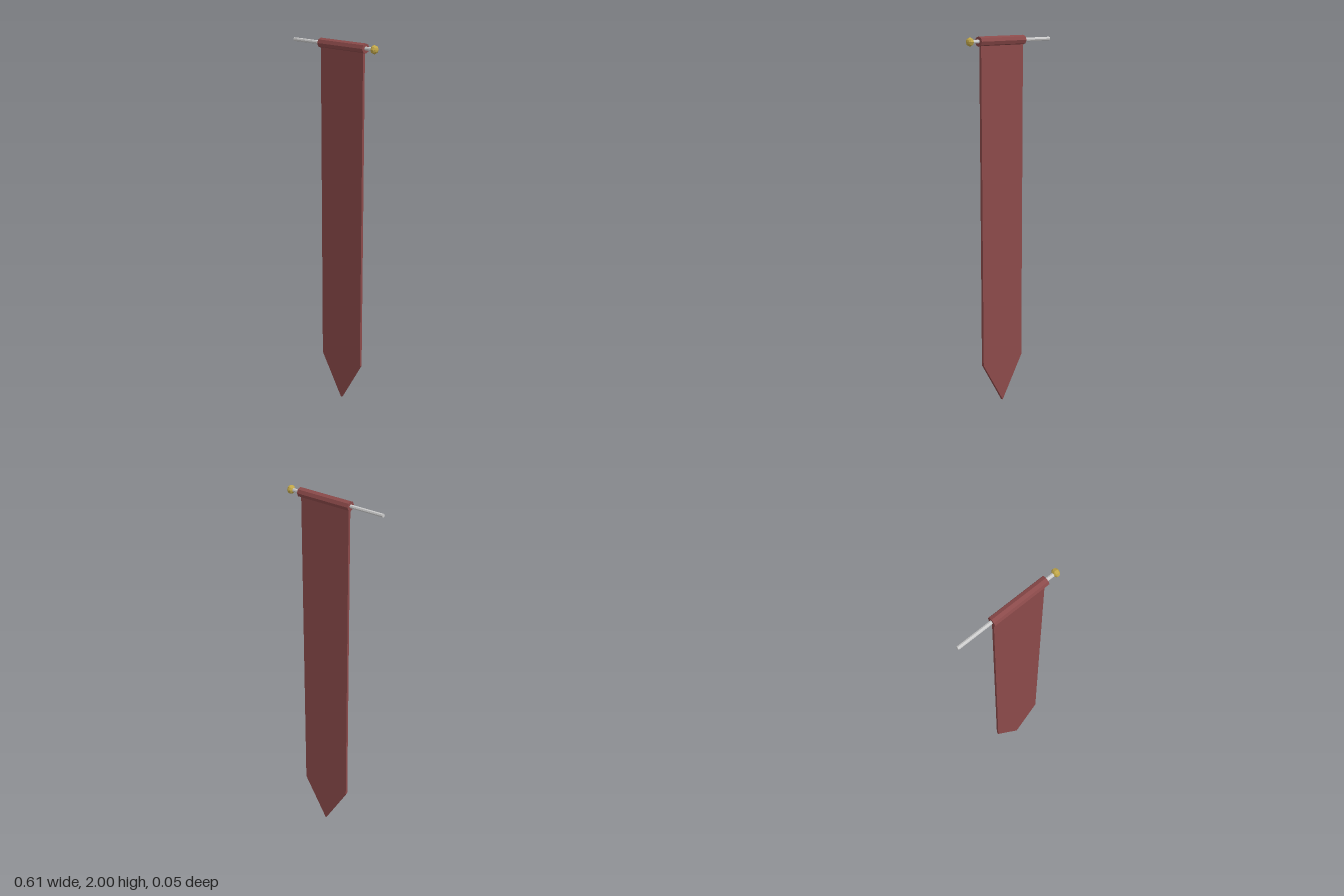
import * as THREE from 'three';

const ROD_Y = 1.974;

function material(color) {
  return new THREE.MeshStandardMaterial({ color, flatShading: true });
}

export function createModel() {
  const group = new THREE.Group();
  const cloth = material(0x8b4a4a);
  const metal = material(0xcccccc);
  const brass = material(0xc2a84a);

  function add(name, geometry, mat) {
    const mesh = new THREE.Mesh(geometry, mat);
    mesh.name = name;
    group.add(mesh);
    return mesh;
  }

  // Eight-sided bar lying along x, with corners at top, bottom, front and back
  function bar(name, x0, x1, radius, mat) {
    const geometry = new THREE.CylinderGeometry(radius, radius, x1 - x0, 8);
    geometry.rotateZ(Math.PI / 2);
    add(name, geometry, mat).position.set((x0 + x1) / 2, ROD_Y, 0);
  }

  // Horizontal rod and the cloth sleeve wrapped round it
  bar('rod', -0.307, 0.275, 0.01, metal);
  bar('sleeve', -0.104, 0.226, 0.026, cloth);

  // Finial: ball squashed along the rod
  const ball = new THREE.SphereGeometry(0.0237, 8, 6);
  ball.rotateZ(-Math.PI / 2);
  ball.scale(0.78, 1, 1);
  add('finial', ball, brass).position.set(0.287, ROD_Y, 0);

  // Hanging cloth, narrowing slightly to a pointed tail
  const outline = new THREE.Shape([
    [-0.096, ROD_Y], [-0.088, 0.23], [0.06, 0], [0.206, 0.23], [0.214, ROD_Y],
  ].map(([x, y]) => new THREE.Vector2(x, y)));
  const depth = 0.014;
  const banner = new THREE.ExtrudeGeometry(outline, { depth, bevelEnabled: false });
  banner.translate(0, 0, -depth / 2);
  add('banner', banner, cloth);

  return group;
}
